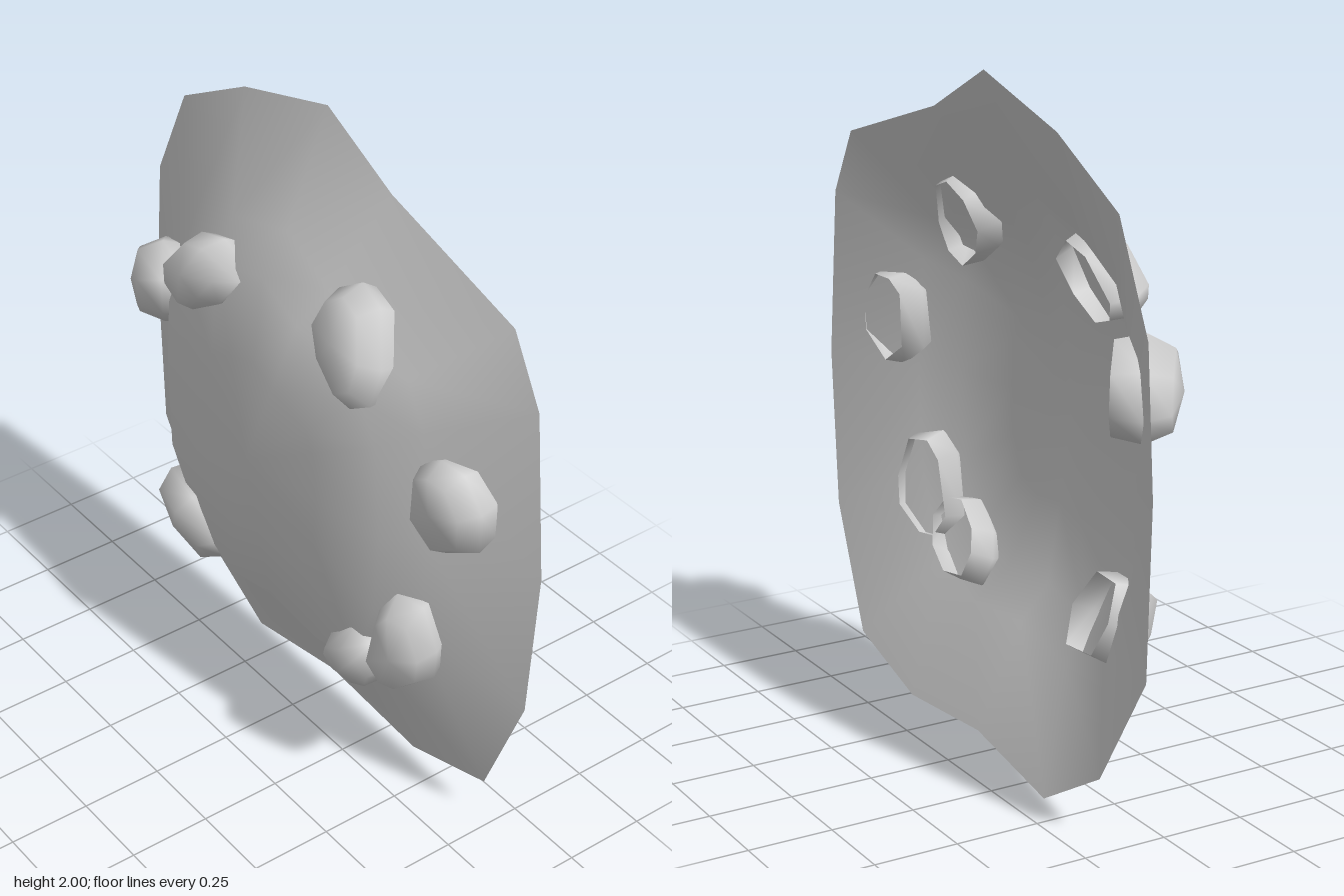
import * as THREE from 'three';

const material = new THREE.MeshStandardMaterial({ color: 0xcccccc, side: THREE.DoubleSide });

// Smooth shell through equal-length rings (anticlockwise from the front), closed by a tip point
function shell(name, rings, tip) {
  const n = rings[0].length;
  const index = [];
  for (let r = 0; r < rings.length; r++) {
    for (let i = 0; i < n; i++) {
      const j = (i + 1) % n, a = r * n + i, b = r * n + j;
      if (r === rings.length - 1) index.push(a, b, rings.length * n);
      else index.push(a, b, b + n, a, b + n, a + n);
    }
  }
  const g = new THREE.BufferGeometry();
  g.setAttribute('position', new THREE.Float32BufferAttribute([...rings.flat(), tip].flat(), 3));
  g.setIndex(index);
  g.computeVertexNormals();
  const mesh = new THREE.Mesh(g, material);
  mesh.name = name;
  return mesh;
}

// Open-backed mound: sloping skirt, steep shoulder and a broad, slightly domed plateau
function mound() {
  const outline = [
    [-0.05, 2], [-0.43, 1.89], [-0.73, 1.73], [-0.87, 1.43], [-0.9, 1.02], [-0.88, 0.52],
    [-0.66, 0.17], [-0.37, 0], [0, 0.07], [0.4, 0.04], [0.72, 0.14], [0.87, 0.52],
    [0.9, 1], [0.85, 1.51], [0.74, 1.71], [0.23, 1.86],
  ];
  // scale and depth of each ring
  const levels = [[1, -0.15], [0.67, -0.005], [0.56, 0.085], [0.3, 0.125]];
  const rings = levels.map(([s, z]) => outline.map(([x, y]) => [x * s, 1 + (y - 1) * s, z]));
  return shell('mound', rings, [0, 1, 0.165]);
}

// Open-backed stone: front outline, depth of its widest ring, and slope in x and y
function stone(outline, z0, sx, sy) {
  const n = outline.length;
  const cx = outline.reduce((t, p) => t + p[0], 0) / n;
  const cy = outline.reduce((t, p) => t + p[1], 0) / n;
  const place = (dx, dy, h) => [cx + dx - sx * h, cy + dy - sy * h, z0 + sx * dx + sy * dy + h];
  const rings = [[0.88, -0.07], [1, 0], [0.76, 0.06]].map(([s, h]) =>
    outline.map(([x, y]) => place((x - cx) * s, (y - cy) * s, h)));
  return shell('stone', rings, place(0, 0, 0.08));
}

const stones = [
  [[[-0.6, 1.37], [-0.71, 1.3], [-0.75, 1.18], [-0.69, 1.1], [-0.6, 1.09], [-0.5, 1.2], [-0.49, 1.32]], 0.01, 0.75, 0],
  [[[-0.22, 1.58], [-0.33, 1.55], [-0.43, 1.42], [-0.4, 1.36], [-0.3, 1.33], [-0.19, 1.4], [-0.12, 1.5]], 0.1, 0.05, -0.25],
  [[[0.29, 1.67], [0.21, 1.62], [0.18, 1.52], [0.25, 1.43], [0.38, 1.36], [0.45, 1.4], [0.45, 1.5], [0.38, 1.64]], 0.04, 0, -0.35],
  [[[0.63, 1.29], [0.56, 1.25], [0.55, 1.07], [0.66, 1], [0.79, 1.08], [0.79, 1.2], [0.72, 1.29]], -0.02, -0.05, 0],
  [[[0.54, 0.81], [0.49, 0.75], [0.45, 0.56], [0.5, 0.48], [0.56, 0.48], [0.65, 0.56], [0.66, 0.66], [0.62, 0.8]], 0.03, -0.35, 0.05],
  [[[0.4, 0.62], [0.3, 0.55], [0.26, 0.48], [0.27, 0.4], [0.37, 0.39], [0.47, 0.45], [0.52, 0.54], [0.48, 0.61]], 0.05, -0.1, 0.4],
  [[[-0.36, 0.62], [-0.51, 0.63], [-0.55, 0.52], [-0.51, 0.41], [-0.32, 0.38], [-0.27, 0.49]], 0.05, 0.2, 0.4],
];

export function createModel() {
  const group = new THREE.Group();
  group.name = 'stonyMound';
  group.add(mound());
  for (const s of stones) group.add(stone(...s));
  return group;
}
